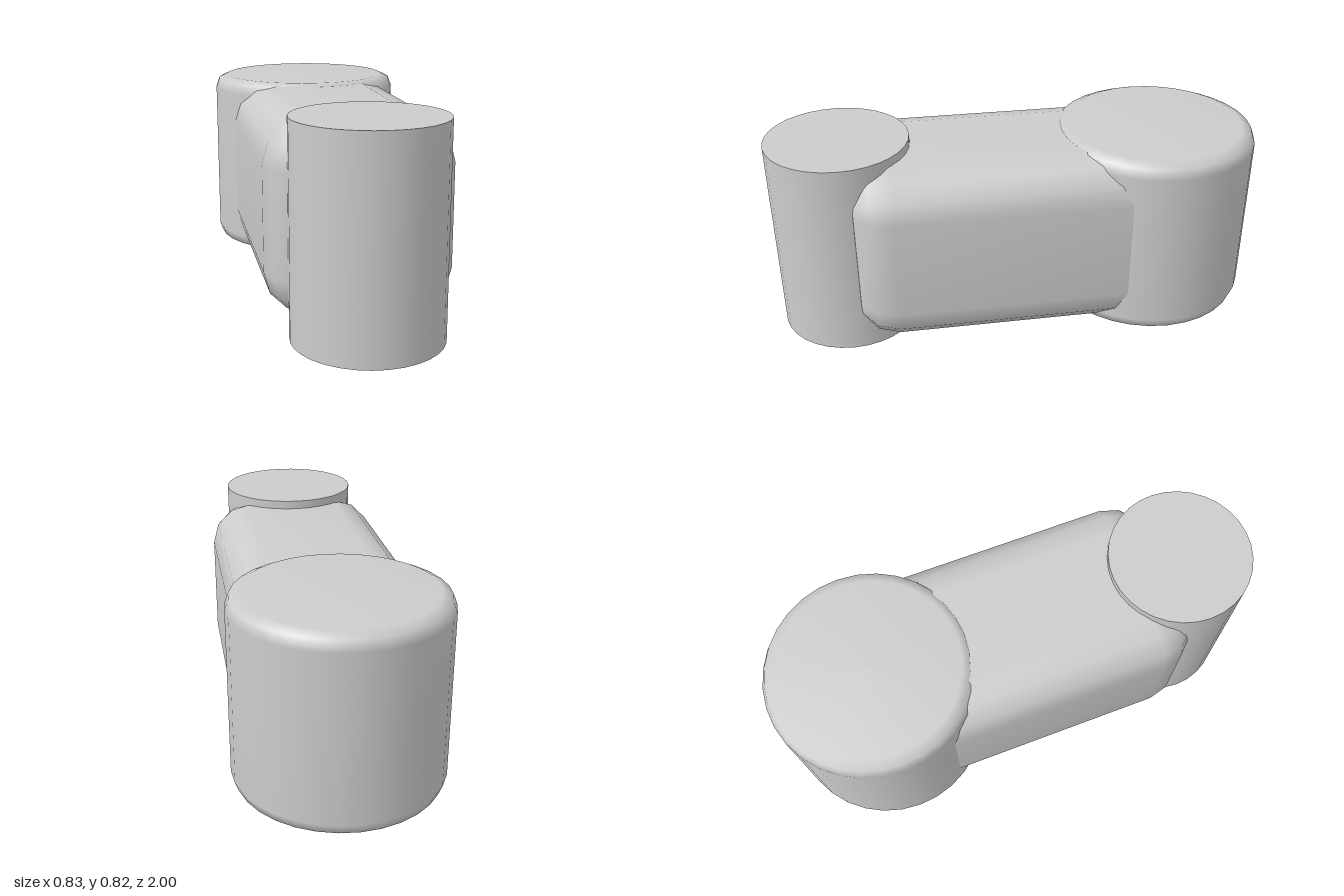
import * as THREE from 'three';
import { mergeVertices } from 'three/addons/utils/BufferGeometryUtils.js';

// Weld shared corners, then use area-weighted normals so large faces stay flat
function weld(geometry) {
  geometry.deleteAttribute('normal');
  geometry.deleteAttribute('uv');
  const welded = mergeVertices(geometry, 1e-4);
  welded.computeVertexNormals();
  return welded;
}

// Block with every edge rounded in equal angular steps
function bevelledBlock(w, h, d, r, steps) {
  const positions = [], index = [];
  const n = 4 * (steps + 1), rings = 2 * (steps + 1);
  for (let i = 0; i < rings; i++) {
    const end = i <= steps ? -1 : 1;
    const phi = (end < 0 ? i - steps : i - steps - 1) * Math.PI / 2 / steps;
    const z = end * (d / 2 - r) + r * Math.sin(phi);
    for (let q = 0; q < 4; q++) {
      const sx = q === 0 || q === 3 ? 1 : -1, sy = q < 2 ? 1 : -1;
      for (let s = 0; s <= steps; s++) {
        const a = (q + s / steps) * Math.PI / 2, rr = r * Math.cos(phi);
        positions.push(sx * (w / 2 - r) + rr * Math.cos(a), sy * (h / 2 - r) + rr * Math.sin(a), z);
      }
    }
  }
  for (let i = 0; i < rings - 1; i++) {
    for (let j = 0; j < n; j++) {
      const k = (j + 1) % n;
      const a = i * n + j, b = i * n + k, c = a + n, e = b + n;
      index.push(a, b, c, b, e, c);
    }
  }
  // End caps, one corner point from each quadrant
  const m = steps + 1, f = (rings - 1) * n;
  index.push(f, f + m, f + 2 * m, f, f + 2 * m, f + 3 * m);
  index.push(0, 2 * m, m, 0, 3 * m, 2 * m);
  const geometry = new THREE.BufferGeometry();
  geometry.setAttribute('position', new THREE.Float32BufferAttribute(positions, 3));
  geometry.setIndex(index);
  return weld(geometry);
}

export function createModel() {
  const group = new THREE.Group();
  const grey = new THREE.MeshStandardMaterial({ color: 0xcccccc });
  grey.name = 'plain grey';

  const add = (name, geometry, x, y, z) => {
    const mesh = new THREE.Mesh(geometry, grey);
    mesh.name = name;
    mesh.position.set(x, y, z);
    group.add(mesh);
  };

  // Sharp-edged pin at the front
  add('frontPin', new THREE.CylinderGeometry(0.287, 0.287, 0.82, 32), 0, 0.41, 0.713);

  // Rounded arm joining the two cylinders
  add('arm', bevelledBlock(0.728, 0.75, 1.29, 0.17, 3), 0.011, 0.41, 0.045);

  // Wide rear hub with bevelled rims
  const profile = [
    [0, 0.022], [0.36, 0.022], [0.4, 0.04], [0.415, 0.08],
    [0.415, 0.74], [0.4, 0.78], [0.36, 0.798], [0, 0.798],
  ].map(([x, y]) => new THREE.Vector2(x, y));
  add('rearHub', weld(new THREE.LatheGeometry(profile, 32)), 0, 0, -0.585);

  return group;
}
